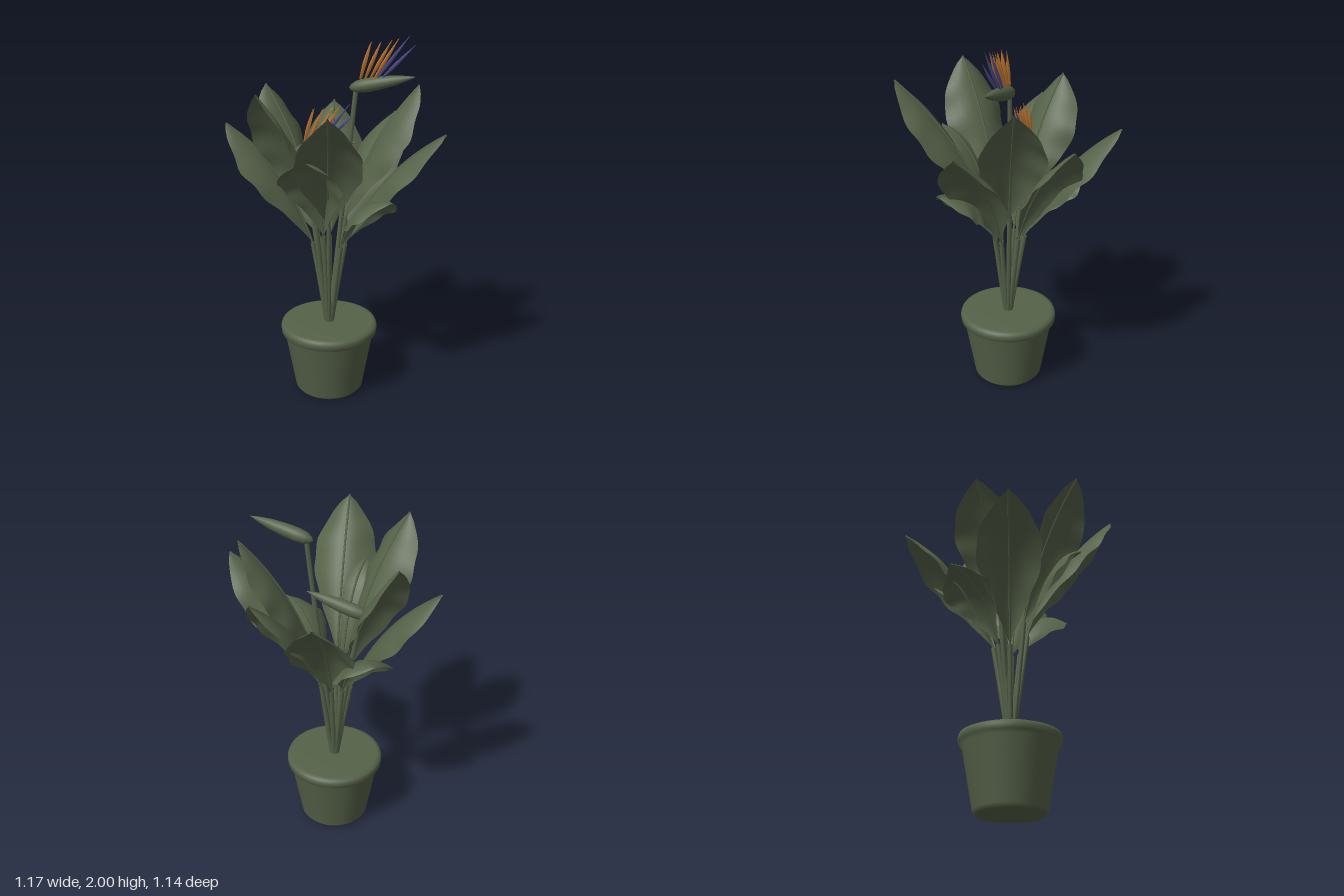
import * as THREE from 'three';

const V = (x, y, z) => new THREE.Vector3(x, y, z);
const UP = V(0, 1, 0);
const CX = -0.03, CZ = -0.003; // axis of the pot

export function createModel() {
  const model = new THREE.Group();
  const green = new THREE.MeshStandardMaterial({ color: 0x566249, side: THREE.DoubleSide });
  green.name = 'plantGreen';
  const orange = new THREE.MeshStandardMaterial({ color: 0xc87d35 });
  orange.name = 'petalOrange';
  const purple = new THREE.MeshStandardMaterial({ color: 0x544f90 });
  purple.name = 'petalPurple';

  const add = (parent, name, geometry, material) => {
    const mesh = new THREE.Mesh(geometry, material);
    mesh.name = name;
    parent.add(mesh);
    return mesh;
  };
  const lathe = (pts, ...turn) =>
    new THREE.LatheGeometry(pts.map(([r, y]) => new THREE.Vector2(r, y)), ...turn);

  // Pot with a soft rim and closed top
  const pot = add(model, 'pot', lathe([
    [0, 0], [0.17, 0], [0.188, 0.02], [0.244, 0.34], [0.264, 0.358],
    [0.266, 0.385], [0.26, 0.402], [0.24, 0.41], [0, 0.41],
  ], 48), green);
  pot.position.set(CX, 0, CZ);

  // Blade: a plane bent along the midrib, narrowed at both ends, edges drooping and rippled
  const bladeGeometry = (curve, side, width, phase) => {
    const geo = new THREE.PlaneGeometry(1, 1, 10, 28);
    const pos = geo.attributes.position;
    for (let i = 0; i < pos.count; i++) {
      const u = pos.getX(i) * 2;
      const t = THREE.MathUtils.clamp(pos.getY(i) + 0.5, 0, 1);
      const outline = Math.pow(Math.max(0, Math.sin(Math.PI * Math.pow(t, 1.35))), 0.78);
      const ripple = 1 + 0.03 * Math.sin(26 * t + phase + u);
      const normal = V(0, 0, 0).crossVectors(curve.getTangent(t), side).normalize();
      const droop = u * u * outline * (0.48 * width + 0.007 * Math.sin(22 * t + phase * 2 + u * 2));
      const p = curve.getPoint(t)
        .addScaledVector(side, u * width * outline * ripple)
        .addScaledVector(normal, -droop);
      pos.setXYZ(i, p.x, p.y, p.z);
    }
    geo.computeVertexNormals();
    return geo;
  };

  // Leaves: tip x, y, z, height of the blade base, half width, arch inward, arch upward
  const leaves = [
    [0.58, 1.53, 0.02, 0.88, 0.168, 0.09, 0.11],
    [-0.585, 1.51, 0.02, 0.87, 0.168, 0.09, 0.11],
    [-0.15, 1.52, -0.57, 0.88, 0.168, 0.09, 0.11],
    [-0.29, 1.76, 0.37, 1.01, 0.168, 0.07, 0.08],
    [0.12, 1.72, 0.565, 1.01, 0.168, 0.07, 0.08],
    [0.23, 1.51, -0.45, 0.89, 0.16, 0.08, 0.1],
    [0.40, 1.72, -0.21, 1.01, 0.168, 0.07, 0.08],
    [-0.42, 1.69, -0.16, 1.0, 0.168, 0.07, 0.08],
    [-0.36, 1.22, -0.29, 0.88, 0.16, 0.05, 0.17],
    [0.35, 1.22, 0.22, 0.88, 0.16, 0.05, 0.17],
    [-0.05, 1.45, 0.385, 0.95, 0.165, 0.06, 0.19],
  ];
  leaves.forEach(([x, y, z, baseY, width, inward, upward], i) => {
    const leaf = new THREE.Group();
    leaf.name = 'leaf' + (i + 1);
    const dir = V(x - CX, 0, z - CZ).normalize();
    const side = V(0, 0, 0).crossVectors(UP, dir);
    const at = (r, h) => V(CX, h, CZ).addScaledVector(dir, r);
    const base = at(0.09, baseY), tip = V(x, y, z);
    const mid = base.clone().lerp(tip, 0.5).addScaledVector(dir, -inward);
    mid.y += upward;
    const rib = new THREE.QuadraticBezierCurve3(base, mid, tip);
    const stalk = new THREE.QuadraticBezierCurve3(at(0.012, 0.39), at(0.05, 0.65), base);
    add(leaf, 'blade', bladeGeometry(rib, side, width, i * 1.7), green);
    add(leaf, 'midrib', new THREE.TubeGeometry(rib, 16, 0.006, 6), green);
    add(leaf, 'stalk', new THREE.TubeGeometry(stalk, 10, 0.013, 8), green);
    model.add(leaf);
  });

  // Spindle stretched from a to b
  const spindle = (parent, name, geo, a, b, material) => {
    const d = b.clone().sub(a);
    geo.scale(1, d.length(), 1);
    const mesh = add(parent, name, geo, material);
    mesh.quaternion.setFromUnitVectors(UP, d.normalize());
    mesh.position.copy(a);
  };
  const bractShape = [[0, 0], [0.018, 0.04], [0.031, 0.12], [0.036, 0.25], [0.034, 0.45],
    [0.026, 0.68], [0.013, 0.87], [0, 1]];
  const petalShape = [[0, 0], [0.006, 0.08], [0.0105, 0.4], [0.009, 0.6], [0.003, 0.87], [0, 1]];
  // Petals: base x, y, tip x, y
  const orangePetals = [[0.12, 1.76, 0.175, 1.965], [0.145, 1.765, 0.225, 1.965],
    [0.17, 1.765, 0.28, 1.975], [0.19, 1.765, 0.315, 1.985]];
  const purplePetals = [[0.2, 1.765, 0.37, 2.0], [0.22, 1.765, 0.4, 1.955]];

  // Two flower heads, each on its own stem
  [[0, 0], [-0.3, -0.36]].forEach(([dx, dy], i) => {
    const flower = new THREE.Group();
    flower.name = 'flower' + (i + 1);
    const z = -0.063;
    spindle(flower, 'bract', lathe(bractShape, 20),
      V(0.062 + dx, 1.718 + dy, z), V(0.405 + dx, 1.795 + dy, z), green);
    // Each petal is a folded blade of two faces, open towards the back
    const petals = (list, name, material) => list.forEach(([bx, by, tx, ty]) => {
      for (const s of [-1, 1]) {
        spindle(flower, name, lathe(petalShape, 2, -Math.PI * 5 / 12, Math.PI * 4 / 3),
          V(bx + dx, by + dy, z + s * 0.011), V(tx + dx, ty + dy, z + s * 0.014), material);
      }
    });
    petals(orangePetals, 'orangePetal', orange);
    petals(purplePetals, 'purplePetal', purple);
    const top = V(0.1 + dx, 1.73 + dy, z);
    const bend = V(CX + (top.x - CX) * 0.55, 1.15 + dy * 0.5, z * 0.75);
    const stem = new THREE.QuadraticBezierCurve3(V(CX, 0.39, CZ), bend, top);
    add(flower, 'stem', new THREE.TubeGeometry(stem, 20, 0.013, 8), green);
    model.add(flower);
  });

  return model;
}
